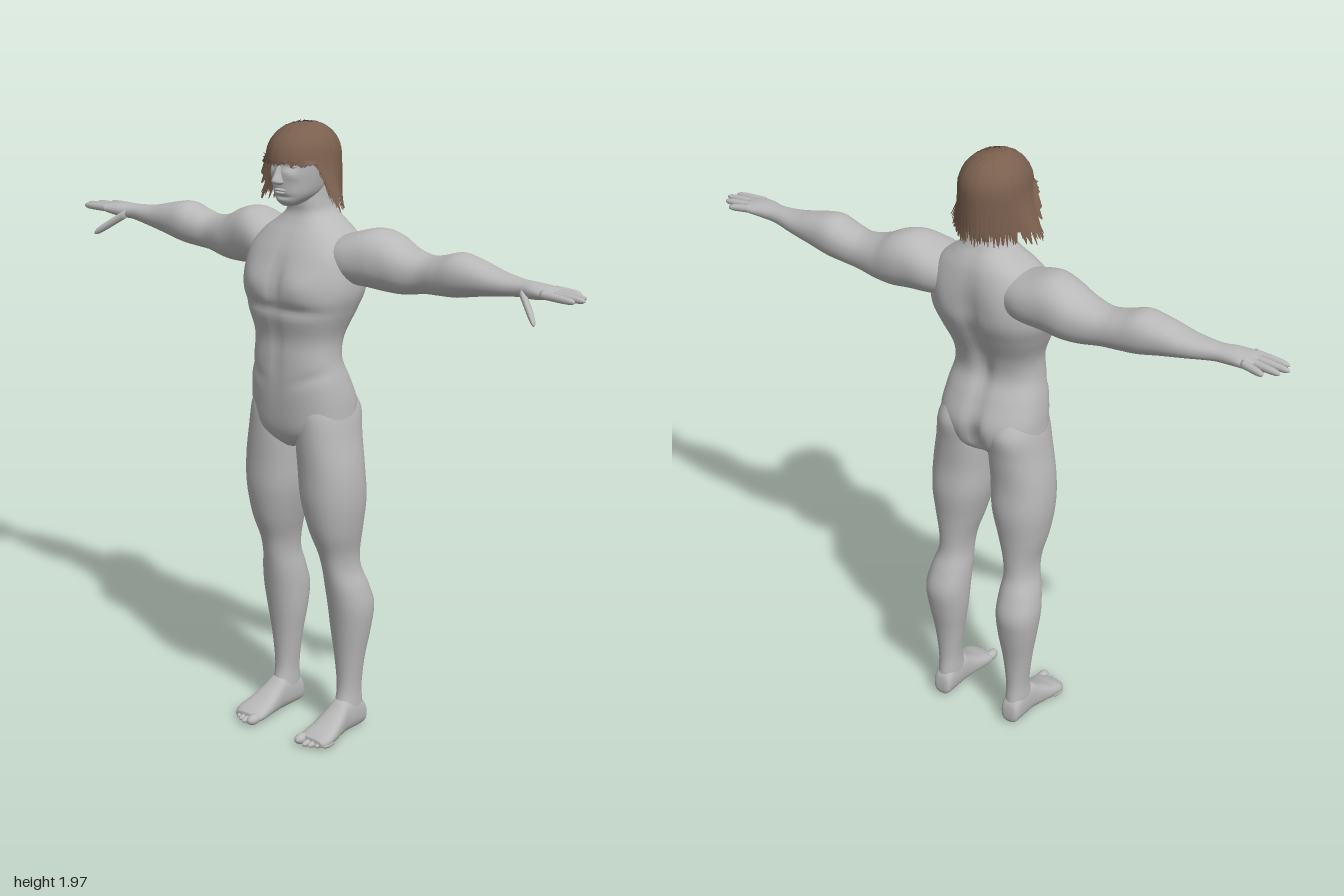
import * as THREE from 'three';

const skin = new THREE.MeshStandardMaterial({ color: 0xb9b9b9 });
skin.name = 'grey skin';
const hairMat = new THREE.MeshStandardMaterial({ color: 0x7a604f, side: THREE.DoubleSide });
hairMat.name = 'brown hair';

const bump = (v, c, w) => Math.exp(-(((v - c) / w) ** 2));
const smooth = THREE.MathUtils.smoothstep;
const spline = (a, b, c, d, t) =>
  0.5 * (2 * b + (c - a) * t + (2 * a - 5 * b + 4 * c - d) * t * t + (3 * b - a - 3 * c + d) * t ** 3);

// Smooth closed skin through rows [t, aMin, aMax, bMin, bMax] along one axis.
// axis y: a = x, b = z;  axis x: a = y, b = z;  axis z: a = x, b = y
function loft(axis, rows, { sides = 32, steps = 5, n = 2.2, shape } = {}) {
  const place = {
    x: (t, a, b) => new THREE.Vector3(t, a, b),
    y: (t, a, b) => new THREE.Vector3(a, t, b),
    z: (t, a, b) => new THREE.Vector3(a, b, t),
  }[axis];
  const pos = [], index = [];
  const at = i => rows[Math.max(0, Math.min(rows.length - 1, i))];
  const rings = (rows.length - 1) * steps + 1;
  const add = p => { if (shape) shape(p); pos.push(p.x, p.y, p.z); };
  const tri = (a, b, c) => (axis === 'y' ? index.push(a, c, b) : index.push(a, b, c));
  for (let r = 0; r < rings; r++) {
    const i = Math.min(Math.floor(r / steps), rows.length - 2), f = r / steps - i;
    const [t, a0, a1, b0, b1] = at(i).map((_, k) => spline(at(i - 1)[k], at(i)[k], at(i + 1)[k], at(i + 2)[k], f));
    for (let s = 0; s < sides; s++) {
      const q = (s / sides) * Math.PI * 2, c = Math.cos(q), d = Math.sin(q);
      add(place(t, (a0 + a1) / 2 + (a1 - a0) / 2 * Math.sign(c) * Math.abs(c) ** (2 / n),
        (b0 + b1) / 2 + (b1 - b0) / 2 * Math.sign(d) * Math.abs(d) ** (2 / n)));
    }
  }
  for (let r = 0; r < rings - 1; r++) {
    for (let s = 0; s < sides; s++) {
      const a = r * sides + s, b = r * sides + (s + 1) % sides;
      tri(a, b, a + sides);
      tri(b, b + sides, a + sides);
    }
  }
  // end caps
  const ends = [rows[0], rows[rows.length - 1]];
  ends.forEach(([t, a0, a1, b0, b1], e) => {
    const base = e ? (rings - 1) * sides : 0, mid = pos.length / 3;
    add(place(t, (a0 + a1) / 2, (b0 + b1) / 2));
    for (let s = 0; s < sides; s++) {
      const a = base + s, b = base + (s + 1) % sides;
      e ? tri(a, b, mid) : tri(b, a, mid);
    }
  });
  const g = new THREE.BufferGeometry();
  g.setAttribute('position', new THREE.Float32BufferAttribute(pos, 3));
  g.setIndex(index);
  g.computeVertexNormals();
  return g;
}

function mirrored(geo) {
  const g = geo.clone().scale(-1, 1, 1), ix = g.index.array;
  for (let i = 0; i < ix.length; i += 3) [ix[i + 1], ix[i + 2]] = [ix[i + 2], ix[i + 1]];
  g.computeVertexNormals();
  return g;
}

function ellipsoid(x, y, z, rx, ry, rz) {
  return new THREE.SphereGeometry(1, 16, 12).scale(rx, ry, rz).translate(x, y, z);
}

// Tapered finger or thumb between two points, running along x
function digit(p, q, r) {
  const rows = [[0, 1], [0.35, 0.95], [0.7, 0.88], [0.92, 0.65], [1, 0.2]].map(([f, k]) => {
    const [x, y, z] = p.map((v, i) => v + (q[i] - v) * f);
    return [x, y - r * k, y + r * k, z - r * k, z + r * k];
  });
  return loft('x', rows, { sides: 12, steps: 3, n: 2 });
}

// Chest, abdomen and back relief
function torsoShape(p) {
  const ax = Math.abs(p.x), { x, y } = p;
  if (p.z > 0.02) {
    p.z += 0.012 * bump(ax, 0.085, 0.06) * bump(y, 1.49, 0.05);
    p.z -= 0.010 * bump(x, 0, 0.018) * bump(y, 1.5, 0.08);
    p.z -= 0.010 * bump(y, 1.415, 0.018) * bump(ax, 0.07, 0.09);
    p.z -= 0.005 * bump(x, 0, 0.014) * bump(y, 1.28, 0.12);
    p.z -= 0.006 * bump(y, 1.16 - 0.0 + ax * 0.4, 0.02) * bump(ax, 0.12, 0.06);
  } else if (p.z < -0.03) {
    p.z += 0.022 * bump(x, 0, 0.028) * bump(y, 1.36, 0.2);
    p.z -= 0.010 * bump(ax, 0.1, 0.045) * bump(y, 1.52, 0.07);
    p.z += 0.035 * bump(x, 0, 0.02) * bump(y, 1.03, 0.08);
  }
}

// Brow, eye sockets and cheeks
function headShape(p) {
  const ax = Math.abs(p.x), { y } = p;
  if (p.z < 0.04) return;
  p.z -= 0.014 * bump(ax, 0.034, 0.018) * bump(y, 1.845, 0.012);
  p.z += 0.006 * bump(ax, 0.03, 0.03) * bump(y, 1.868, 0.009);
  p.z += 0.004 * bump(ax, 0.045, 0.015) * bump(y, 1.815, 0.015);
  p.z -= 0.007 * bump(p.x, 0, 0.03) * bump(y, 1.752, 0.006);
}

// Point on the hair: angle from the front, 0..1 from crown to tip
function hairPoint(phi, s, lift, extra = 0) {
  const ang = Math.abs(Math.atan2(Math.sin(phi), Math.cos(phi))) * 180 / Math.PI;
  const th = Math.min(s / 0.6, 1) * Math.PI / 2, u = Math.max(0, (s - 0.6) / 0.4);
  const out = Math.sin(th), c = Math.cos(phi);
  const drop = 0.01 + 0.135 * smooth(ang, 58, 78) + extra;
  const flare = 0.055 * bump(ang, 84, 26) * u ** 1.3;
  return new THREE.Vector3(
    Math.sin(phi) * ((0.097 + lift) * out + flare),
    1.865 + (0.097 + lift) * Math.cos(th) - drop * u,
    c * ((c > 0 ? 0.124 : 0.116) + lift) * out - 0.005);
}

function sheet(cols, rows, fn) {
  const pos = [], index = [];
  for (let i = 0; i <= cols; i++) for (let j = 0; j <= rows; j++) pos.push(...fn(i / cols, j / rows).toArray());
  for (let i = 0; i < cols; i++) for (let j = 0; j < rows; j++) {
    const a = i * (rows + 1) + j, b = a + rows + 1;
    index.push(a, a + 1, b, b, a + 1, b + 1);
  }
  const g = new THREE.BufferGeometry();
  g.setAttribute('position', new THREE.Float32BufferAttribute(pos, 3));
  g.setIndex(index);
  g.computeVertexNormals();
  return g;
}

export function createModel() {
  const model = new THREE.Group();
  const add = (name, geo, mat = skin) => {
    const m = new THREE.Mesh(geo, mat);
    m.name = name;
    model.add(m);
  };
  const pair = (name, geo) => { add(name + 'Left', geo); add(name + 'Right', mirrored(geo)); };
  const sym = rows => rows.map(([y, w, b, f]) => [y, -w, w, b, f]);

  // Torso and neck
  add('torso', loft('y', sym([
    [0.965, 0.03, -0.06, 0.07], [0.99, 0.09, -0.09, 0.098], [1.03, 0.165, -0.122, 0.115], [1.1, 0.172, -0.135, 0.123],
    [1.18, 0.162, -0.105, 0.127], [1.25, 0.147, -0.075, 0.125], [1.32, 0.148, -0.085, 0.122], [1.4, 0.178, -0.122, 0.138],
    [1.46, 0.198, -0.145, 0.14], [1.52, 0.2, -0.15, 0.128], [1.58, 0.188, -0.15, 0.105], [1.63, 0.15, -0.142, 0.075],
    [1.665, 0.105, -0.128, 0.05], [1.695, 0.072, -0.11, 0.035], [1.73, 0.062, -0.095, 0.035], [1.79, 0.058, -0.085, 0.03],
  ]), { sides: 72, steps: 6, n: 2.4, shape: torsoShape }));

  // Head and face
  add('head', loft('y', sym([
    [1.722, 0.022, 0.03, 0.085], [1.735, 0.04, -0.01, 0.1], [1.76, 0.06, -0.06, 0.107], [1.8, 0.071, -0.085, 0.109],
    [1.85, 0.078, -0.1, 0.112], [1.9, 0.076, -0.1, 0.108], [1.935, 0.06, -0.08, 0.08], [1.953, 0.03, -0.04, 0.04],
  ]), { sides: 64, steps: 8, shape: headShape }));
  add('nose', loft('y', sym([
    [1.789, 0.008, 0.09, 0.116], [1.796, 0.017, 0.09, 0.132], [1.804, 0.015, 0.09, 0.139],
    [1.825, 0.010, 0.09, 0.127], [1.85, 0.008, 0.09, 0.116], [1.87, 0.01, 0.09, 0.112],
  ]), { sides: 16, steps: 3, n: 2 }));
  add('upperLip', ellipsoid(0, 1.7735, 0.105, 0.023, 0.005, 0.010));
  add('lowerLip', ellipsoid(0, 1.7645, 0.104, 0.019, 0.005, 0.010));
  pair('eye', ellipsoid(0.033, 1.845, 0.084, 0.014, 0.008, 0.012));
  pair('ear', ellipsoid(0.078, 1.83, 0, 0.009, 0.03, 0.018));

  // Arms and hands
  pair('arm', loft('x', [
    [0.08, 1.5, 1.62, -0.12, 0.03], [0.16, 1.49, 1.643, -0.15, 0.05], [0.24, 1.485, 1.665, -0.155, 0.035],
    [0.3, 1.48, 1.655, -0.155, 0.02], [0.36, 1.482, 1.625, -0.145, 0.01], [0.43, 1.495, 1.61, -0.135, -0.005],
    [0.49, 1.5, 1.62, -0.135, 0], [0.55, 1.505, 1.637, -0.135, 0.005], [0.62, 1.52, 1.625, -0.125, 0],
    [0.7, 1.535, 1.605, -0.11, -0.01], [0.78, 1.547, 1.597, -0.09, -0.02], [0.83, 1.55, 1.597, -0.09, -0.008],
    [0.88, 1.558, 1.592, -0.097, 0], [0.905, 1.566, 1.586, -0.092, -0.006],
  ]));
  [[-0.012, -0.014, 0.985], [-0.036, -0.042, 1], [-0.06, -0.071, 0.985], [-0.084, -0.1, 0.948]].forEach(([z0, z1, tip], i) =>
    pair('finger' + (i + 1), digit([0.875, 1.577, z0], [tip, 1.572, z1], 0.0125)));
  pair('thumb', digit([0.8, 1.568, -0.025], [0.888, 1.5, 0.036], 0.015));

  // Legs
  pair('leg', loft('y', [
    [1.14, 0.03, 0.15, -0.1, 0.09], [1.08, 0.015, 0.172, -0.13, 0.105], [1.0, 0.008, 0.187, -0.122, 0.105],
    [0.9, 0.012, 0.205, -0.115, 0.1], [0.8, 0.02, 0.208, -0.12, 0.095], [0.7, 0.045, 0.195, -0.11, 0.075],
    [0.62, 0.068, 0.178, -0.105, 0.045], [0.56, 0.075, 0.178, -0.108, 0.03], [0.5, 0.07, 0.195, -0.13, 0.017],
    [0.43, 0.068, 0.205, -0.15, 0.003], [0.35, 0.073, 0.197, -0.14, -0.01], [0.25, 0.088, 0.18, -0.122, -0.022],
    [0.15, 0.1, 0.168, -0.115, -0.026], [0.09, 0.1, 0.169, -0.12, -0.012], [0.04, 0.1, 0.17, -0.126, 0.01],
  ].reverse()));

  // Feet and toes
  pair('foot', loft('z', [
    [-0.13, 0.12, 0.15, 0.02, 0.045], [-0.122, 0.105, 0.165, 0.004, 0.08], [-0.09, 0.1, 0.17, 0, 0.11],
    [-0.03, 0.098, 0.173, 0, 0.115], [0.01, 0.094, 0.182, 0, 0.088], [0.06, 0.088, 0.194, 0, 0.058],
    [0.1, 0.086, 0.198, 0, 0.042], [0.125, 0.092, 0.185, 0.004, 0.03],
  ], { sides: 24, n: 2.5 }));
  for (let i = 0; i < 5; i++) {
    const r = i ? 0.0105 : 0.017;
    pair('toe' + (i + 1), ellipsoid(i ? 0.112 + i * 0.019 : 0.104, r + 0.002, 0.127 - i * i * 0.0022, r, r, 0.028));
  }

  // Hair: inner shell, then overlapping tapered locks
  add('hairShell', sheet(72, 20, (u, v) => hairPoint(u * Math.PI * 2, v * 0.92, 0)), hairMat);
  let seed = 7;
  const rand = () => (seed = (seed * 16807) % 2147483647) / 2147483647;
  for (let i = 0; i < 150; i++) {
    const phi = (i + rand()) / 150 * Math.PI * 2, width = 0.07 + rand() * 0.06;
    const lift = 0.002 + rand() * 0.006, extra = (rand() - 0.5) * 0.024, lean = (rand() - 0.5) * 0.16;
    const start = 0.08 + rand() * 0.2;
    add('hairLock' + (i + 1), sheet(2, 10, (u, v) => {
      const taper = v < 0.7 ? 1 : 1 - (v - 0.7) / 0.32;
      return hairPoint(phi + lean * v + (u - 0.5) * 2 * width * taper, start + (1 - start) * v,
        lift * (0.5 + v * 0.5) + 0.002 * (1 - Math.abs(u - 0.5) * 2), extra);
    }), hairMat);
  }
  return model;
}
